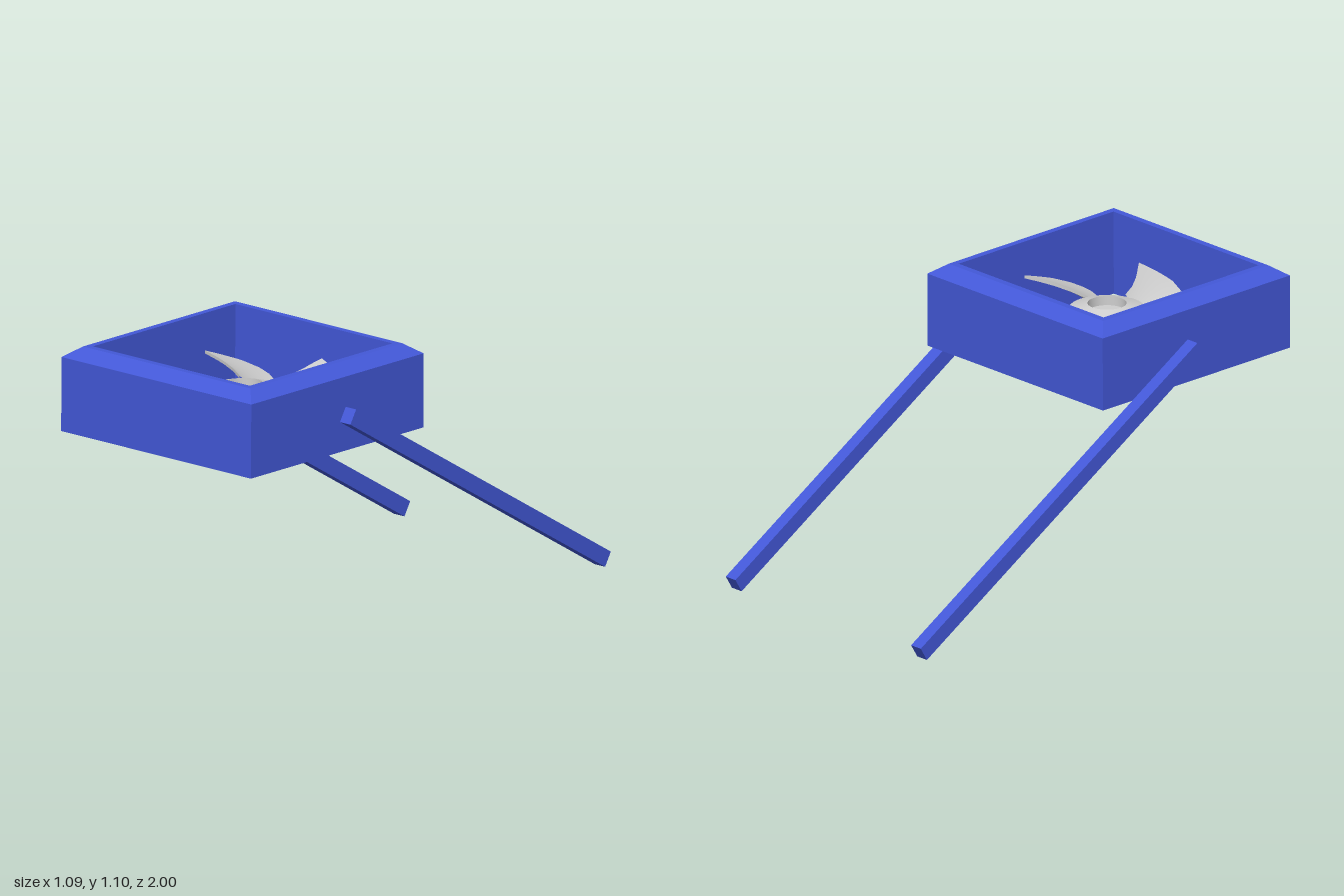
import * as THREE from 'three';
import { toCreasedNormals } from 'three/addons/utils/BufferGeometryUtils.js';

const blue = new THREE.MeshStandardMaterial({ color: 0x4358d8 });
blue.name = 'blue paint';
const grey = new THREE.MeshStandardMaterial({ color: 0xcfcfcf });
grey.name = 'light grey metal';

const CZ = 0.5; // fan centre, front to back

function add(parent, name, geometry, material, x = 0, y = 0, z = 0) {
  const mesh = new THREE.Mesh(geometry, material);
  mesh.name = name;
  mesh.position.set(x, y, z);
  parent.add(mesh);
  return mesh;
}

function lathe(profile, segments, phiStart = 0) {
  const points = profile.map(([r, y]) => new THREE.Vector2(r, y));
  return toCreasedNormals(new THREE.LatheGeometry(points, segments, phiStart), 0.3);
}

// Square frame: a closed wall profile swept round four sides
function frameGeometry() {
  const wall = [[0.49, 0], [0.49, 0.295], [0.432, 0.336], [0.405, 0.336], [0.405, 0], [0.49, 0]];
  return lathe(wall.map(([r, y]) => [r * Math.SQRT2, y]), 4, Math.PI / 4);
}

// Swept, twisted blade lofted from arcs: radius, leading angle, trailing angle
function bladeGeometry() {
  const arcs = [
    [0.13, 22, 56], [0.2, 18, 56], [0.27, 13.5, 55.5], [0.32, 10.5, 51],
    [0.35, 9, 46], [0.375, 8, 39], [0.392, 7.5, 29],
  ];
  const n = 8, loop = 2 * (n + 1), thick = 0.012;
  const pos = [], index = [];
  for (const [r, a0, a1] of arcs) {
    for (let k = 0; k < loop; k++) {
      const top = k <= n;
      const a = THREE.MathUtils.lerp(a0, a1, (top ? k : loop - 1 - k) / n);
      const y = 0.967 - 0.1 * (a - 8) / 45 - (top ? 0 : thick);
      const t = THREE.MathUtils.degToRad(a);
      pos.push(r * Math.sin(t), y, -r * Math.cos(t));
    }
  }
  for (let j = 0; j < arcs.length - 1; j++) {
    for (let k = 0; k < loop; k++) {
      const a = j * loop + k, b = j * loop + (k + 1) % loop;
      index.push(a, b, a + loop, b, b + loop, a + loop);
    }
  }
  // Tip cap
  const s = (arcs.length - 1) * loop;
  for (let k = 0; k < n; k++) {
    const a = s + k, b = a + 1, c = s + loop - 2 - k, d = c + 1;
    index.push(a, b, d, b, c, d);
  }
  const g = new THREE.BufferGeometry();
  g.setAttribute('position', new THREE.Float32BufferAttribute(pos, 3));
  g.setIndex(index);
  return toCreasedNormals(g, 0.6);
}

export function createModel() {
  const model = new THREE.Group();
  model.name = 'fan on handles';

  // Housing leans back very slightly
  const frame = add(model, 'housing frame', frameGeometry(), blue, 0, 0.761, 0.507);
  frame.scale.z = 1.005;
  frame.rotation.x = -0.007;

  // Crossed support bars under the fan
  add(model, 'cross bar', new THREE.BoxGeometry(0.82, 0.04, 0.06), blue, 0, 0.82, CZ);
  add(model, 'long bar', new THREE.BoxGeometry(0.075, 0.04, 0.83), blue, 0, 0.82, 0.505);

  // Fan: hub with a round recess, and five blades
  const fan = new THREE.Group();
  fan.name = 'fan';
  fan.position.z = CZ - 0.003;
  model.add(fan);
  add(fan, 'hub', lathe([
    [0, 0.84], [0.135, 0.84], [0.147, 0.86], [0.147, 0.92],
    [0.075, 0.942], [0.075, 0.905], [0, 0.905],
  ], 40), grey);
  const blade = bladeGeometry();
  for (let i = 0; i < 5; i++) {
    add(fan, 'blade', blade, grey).rotation.y = i * Math.PI * 2 / 5;
  }

  // Sloping legs on both sides, running down to the back
  for (const side of [-1, 1]) {
    const leg = add(model, 'leg', new THREE.BoxGeometry(0.054, 0.063, 1.7), blue, side * 0.518, 0.469, -0.252);
    leg.rotation.x = -Math.atan2(0.88, 1.457);
  }
  return model;
}
